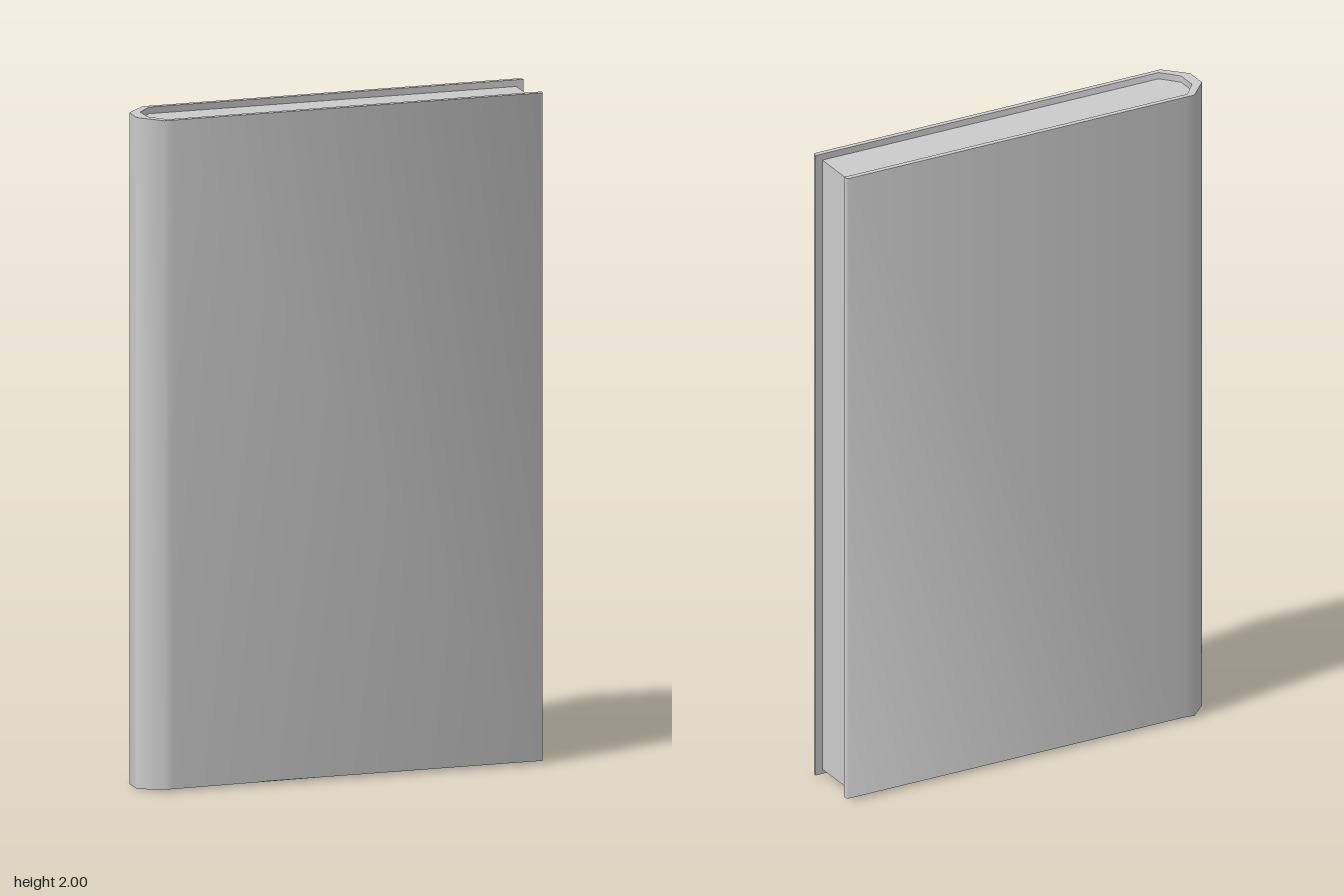
import * as THREE from 'three';
import { toCreasedNormals } from 'three/addons/utils/BufferGeometryUtils.js';

// Upright prism from half an outline (z > 0 side), mirrored across z = 0
function prism(points, y0, y1) {
  const shape = new THREE.Shape(points.map(([x, z]) => new THREE.Vector2(x, -z)));
  const g = new THREE.ExtrudeGeometry(shape, { depth: y1 - y0, bevelEnabled: false });
  return g.rotateX(-Math.PI / 2).translate(0, y0, 0);
}
const mirrorZ = (half) => half.map(([x, z]) => [x, -z]).reverse();

export function createModel() {
  const book = new THREE.Group();
  book.name = 'book';
  const material = new THREE.MeshStandardMaterial({ color: 0xcccccc });

  // Half profiles run from the fore edge to the spine
  const outer = [[0.605, 0.1], [-0.52, 0.1], [-0.55, 0.1], [-0.612, 0.035]];
  const inner = [[0.61, 0.084], [-0.535, 0.084], [-0.58, 0.032]];

  // Wrap-around cover: two boards joined by a chamfered spine
  const u = [
    [0.61, 0.094], ...outer, ...mirrorZ(outer), [0.61, -0.094],
    ...inner.map(([x, z]) => [x, -z]), ...[...inner].reverse(),
  ];
  let coverGeo = prism(u, 0.01, 2);
  // Spine hangs slightly lower than the boards
  const p = coverGeo.attributes.position;
  for (let i = 0; i < p.count; i++) {
    if (p.getY(i) < 0.1) {
      const t = THREE.MathUtils.clamp((-0.53 - p.getX(i)) / 0.07, 0, 1);
      p.setY(i, 0.01 * (1 - t));
    }
  }
  coverGeo = toCreasedNormals(coverGeo, 0.9);
  const cover = new THREE.Mesh(coverGeo, material);
  cover.name = 'cover';

  // Page block, recessed at top, bottom and fore edge
  const page = [[0.588, 0.084], ...inner.slice(1)];
  const pages = new THREE.Mesh(prism([...page, ...mirrorZ(page)], 0.025, 1.98), material);
  pages.name = 'pages';

  book.add(cover, pages);
  return book;
}
